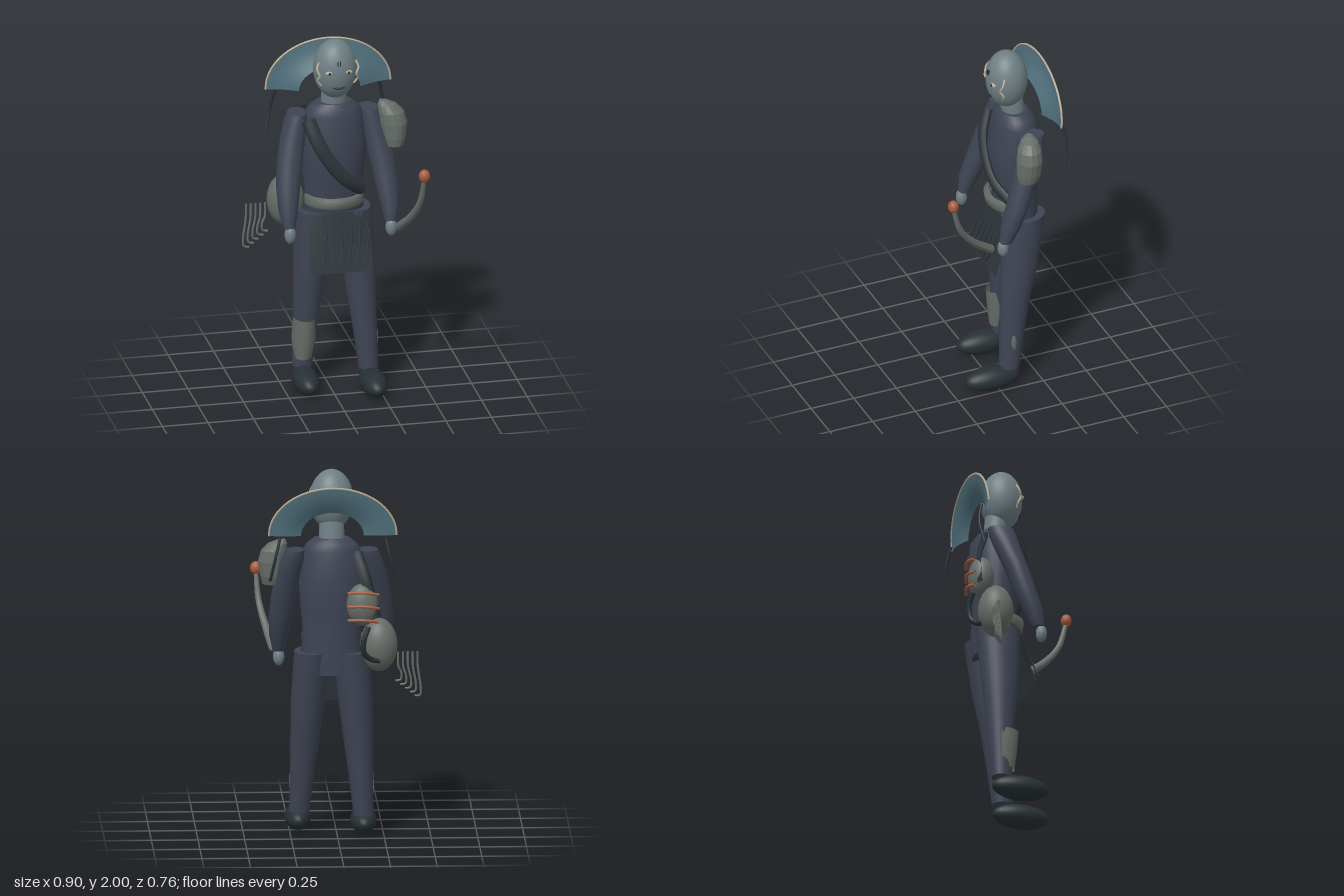
import * as THREE from 'three';

const mat = (color) => new THREE.MeshStandardMaterial({ color, side: THREE.DoubleSide });
const V = (p) => new THREE.Vector3(...p);

// Horizontal elliptical cross-sections [x, y, z, rx, rz], listed bottom to top
function loft(rows, { n = 28, from = -Math.PI, sweep = Math.PI * 2, cap = true } = {}) {
  const full = sweep > 6.28, cols = full ? n : n + 1;
  const first = rows[0], last = rows[rows.length - 1];
  const flat = (r) => [r[0], r[1], r[2], 0, 0];
  const all = cap && full ? [flat(first), first, ...rows, last, flat(last)] : rows;
  const pos = [], idx = [];
  all.forEach(([x, y, z, rx, rz], j) => {
    for (let i = 0; i < cols; i++) {
      const t = from + (sweep * i) / n;
      pos.push(x + rx * Math.sin(t), y, z + rz * Math.cos(t));
    }
    if (j === 0) return;
    for (let i = 0; i < n; i++) {
      const k = (i + 1) % cols, a = (j - 1) * cols, b = j * cols;
      idx.push(a + i, a + k, b + k, a + i, b + k, b + i);
    }
  });
  const g = new THREE.BufferGeometry();
  g.setAttribute('position', new THREE.Float32BufferAttribute(pos, 3));
  g.setIndex(idx);
  g.computeVertexNormals();
  return g;
}

// Tube through points, with an optional end taper and depth squash
function tube(points, r, { taper = 1, squash = 1, sides = 10, n = 20 } = {}) {
  const curve = new THREE.CatmullRomCurve3(points.map(V));
  const g = new THREE.TubeGeometry(curve, n, r, sides);
  const p = g.attributes.position, v = new THREE.Vector3();
  for (let i = 0; i < p.count; i++) {
    const t = Math.floor(i / (sides + 1)) / n, c = curve.getPointAt(t);
    v.fromBufferAttribute(p, i).sub(c).multiplyScalar(1 + (taper - 1) * t);
    v.z *= squash;
    p.setXYZ(i, c.x + v.x, c.y + v.y, c.z + v.z);
  }
  g.computeVertexNormals();
  return g;
}

export function createModel() {
  const model = new THREE.Group();
  const cloth = mat(0x3e4453), skin = mat(0x6f7f84), dark = mat(0x273034), grey = mat(0x666d68);
  const copper = mat(0xa85c3c), teal = mat(0x4f6f7b), bone = mat(0xb5ab94);
  const leather = mat(0x2e353b);
  const add = (name, geo, m) => {
    const mesh = new THREE.Mesh(geo, m);
    mesh.name = name;
    model.add(mesh);
    return mesh;
  };
  const ball = (name, c, r, m, seg = 28) => {
    const mesh = add(name, new THREE.SphereGeometry(1, seg, Math.ceil(seg * 0.7)), m);
    mesh.position.set(...c);
    mesh.scale.set(...r);
    return mesh;
  };

  // Body
  ball('head', [0.03, 1.835, -0.13], [0.118, 0.165, 0.113], skin, 36);
  add('neck', loft([[0.03, 1.58, -0.17, 0.07, 0.06], [0.03, 1.74, -0.155, 0.066, 0.062]]), skin);
  add('torso', loft([
    [0.03, 0.9, -0.19, 0.13, 0.095], [0.03, 1.02, -0.18, 0.168, 0.11], [0.03, 1.12, -0.175, 0.155, 0.115],
    [0.03, 1.25, -0.172, 0.168, 0.128], [0.03, 1.4, -0.17, 0.178, 0.137], [0.03, 1.57, -0.178, 0.16, 0.118],
    [0.03, 1.61, -0.172, 0.13, 0.095], [0.03, 1.635, -0.168, 0.095, 0.075]]), cloth);

  // Limbs on both sides, with the left foot a step ahead
  for (const s of [-1, 1]) {
    const side = s > 0 ? 'left' : 'right', step = s > 0 ? 0 : -0.105;
    const x = (d) => 0.03 + s * d;
    add(side + 'Arm', loft([
      [x(0.278), 0.985, -0.005, 0.032, 0.035], [x(0.278), 1.08, -0.035, 0.053, 0.055],
      [x(0.268), 1.2, -0.08, 0.066, 0.062], [x(0.25), 1.33, -0.12, 0.07, 0.064],
      [x(0.225), 1.45, -0.16, 0.068, 0.07], [x(0.205), 1.53, -0.182, 0.063, 0.075],
      [x(0.195), 1.575, -0.19, 0.052, 0.07]]), cloth);
    ball(side + 'Hand', [x(0.277), 0.95, 0.012], [0.031, 0.05, 0.03], skin, 18);
    add(side + 'Leg', loft([
      [x(0.17), 0.12, -0.072 + step, 0.054, 0.056], [x(0.155), 0.35, -0.095 + step * 0.8, 0.066, 0.07],
      [x(0.14), 0.55, -0.12 + step * 0.55, 0.08, 0.085], [x(0.127), 0.75, -0.15 + step * 0.25, 0.092, 0.105],
      [x(0.105), 1.02, -0.18, 0.097, 0.122]]), cloth);
    ball(side + 'Shoe', [x(0.174), 0.07, 0.03 + step], [0.071, 0.067, 0.157], dark);
    // Tassel hanging from the crest
    add(side + 'CrestTassel', tube([[x(0.283), 1.665, -0.325], [x(0.31), 1.55, -0.345], [x(0.337), 1.43, -0.325]], 0.008), dark);
  }

  // Face
  for (const s of [-1, 1]) {
    ball('eye', [0.03 + s * 0.052, 1.845, -0.031], [0.022, 0.011, 0.012], bone, 14);
    ball('pupil', [0.03 + s * 0.052, 1.845, -0.02], [0.007, 0.008, 0.005], dark, 10);
    add('cheekMark', tube([[0.03 + s * 0.1, 1.895, -0.075], [0.03 + s * 0.113, 1.86, -0.06], [0.03 + s * 0.1, 1.825, -0.05],
      [0.03 + s * 0.11, 1.795, -0.065], [0.03 + s * 0.09, 1.765, -0.07]], 0.006), bone);
    add('browMark', new THREE.BoxGeometry(0.005, 0.024, 0.014), dark).position.set(0.03 + s * 0.007, 1.897, -0.024);
  }
  add('mouth', tube([[0, 1.76, -0.037], [0.03, 1.753, -0.031], [0.06, 1.76, -0.037]], 0.006), dark);

  // Fan crest behind the head: an arched band leaning back toward its rim
  const crest = new THREE.PlaneGeometry(1, 1, 40, 6), cp = crest.attributes.position;
  const rimPoint = (a, k) => {
    const s = Math.sin(a), c = Math.cos(a);
    const rx = 0.168 + 0.175 * k, ry = 0.125 + 0.135 * k;
    return [0.03 - rx * c, 1.672 + ry * s - 0.01 * (1 - k), -0.262 - k * (0.04 + 0.022 * s) - 0.012 * Math.sin(k * Math.PI)];
  };
  for (let i = 0; i < cp.count; i++) {
    cp.setXYZ(i, ...rimPoint((cp.getX(i) + 0.5) * Math.PI, cp.getY(i) + 0.5));
  }
  crest.computeVertexNormals();
  add('crest', crest, teal);
  const rim = Array.from({ length: 17 }, (_, i) => rimPoint((i / 16) * Math.PI, 1));
  add('crestRim', tube(rim, 0.006, { n: 60, sides: 6 }), bone);

  // Shoulder guard and shin guards
  const guard = loft([
    [0.352, 1.375, -0.115, 0.05, 0.055], [0.352, 1.42, -0.12, 0.062, 0.066], [0.35, 1.5, -0.125, 0.074, 0.07],
    [0.338, 1.56, -0.13, 0.07, 0.064], [0.318, 1.6, -0.138, 0.052, 0.046], [0.295, 1.622, -0.145, 0.02, 0.02]], { n: 14 });
  add('shoulderGuard', guard.toNonIndexed(), grey).geometry.computeVertexNormals();
  add('rightShinGuard', loft([
    [-0.139, 0.17, -0.175, 0.05, 0.068], [-0.133, 0.28, -0.175, 0.064, 0.083], [-0.13, 0.4, -0.17, 0.06, 0.088]],
  { from: -1.8, sweep: 3.6, n: 12 }), grey);
  ball('leftShinPatch', [0.236, 0.285, -0.08], [0.02, 0.07, 0.02], grey, 12);

  // Sash across the chest and its strap down the back
  add('sash', tube([[-0.125, 1.56, -0.085], [-0.08, 1.44, -0.04], [-0.01, 1.32, -0.025], [0.075, 1.22, -0.035], [0.17, 1.145, -0.085]],
    0.038, { squash: 0.6 }), leather);
  add('backStrap', tube([[-0.1, 1.57, -0.255], [-0.15, 1.42, -0.305], [-0.2, 1.22, -0.315]], 0.03, { squash: 0.5, sides: 4 }), leather);

  // Belt front, apron and hanging cords
  add('belt', loft([
    [0.03, 1.055, -0.17, 0.155, 0.13], [0.03, 1.06, -0.17, 0.162, 0.152],
    [0.03, 1.11, -0.17, 0.162, 0.16], [0.03, 1.115, -0.17, 0.15, 0.13]],
  { from: -1.5, sweep: 3, n: 24 }), grey);
  const apron = new THREE.PlaneGeometry(1, 1, 12, 8), ap = apron.attributes.position;
  for (let i = 0; i < ap.count; i++) {
    const u = ap.getX(i), k = 0.5 - ap.getY(i);
    ap.setXYZ(i, 0.037 + u * (0.325 + 0.02 * k), 1.025 - 0.32 * k, -0.058 + 0.07 * k - 0.07 * u * u * (1 - k));
  }
  apron.computeVertexNormals();
  add('apron', apron, leather);
  for (let i = 0; i < 6; i++) {
    const x = -0.065 + i * 0.046;
    add('apronCord', tube([[x + 0.015, 1.02, -0.04], [x + 0.02, 0.93, 0], [x + 0.01, 0.85, 0.025], [x - 0.012, 0.78, 0.046]], 0.004, { sides: 6 }), dark);
  }

  // Packs carried on the right hip and back
  ball('hipBag', [-0.22, 1.06, -0.235], [0.1, 0.145, 0.095], grey);
  ball('backPouch', [-0.13, 1.29, -0.29], [0.085, 0.115, 0.068], grey);
  for (const y of [1.365, 1.29, 1.215]) {
    add('pouchRib', tube([[-0.215, y - 0.01, -0.35], [-0.17, y, -0.368], [-0.12, y + 0.005, -0.37], [-0.05, y, -0.35]], 0.008), copper);
  }
  add('bagStrap', tube([[-0.16, 1.18, -0.345], [-0.135, 1.11, -0.36], [-0.135, 1.04, -0.35], [-0.17, 1.0, -0.325], [-0.22, 0.985, -0.305]], 0.015), dark);

  // Row of hooked picks beside the hip
  for (let i = 0; i < 5; i++) {
    const x = -0.425 + i * 0.026, b = 0.785 + i * 0.021;
    add('hookedPick', tube([[x, 1.03, -0.28], [x - 0.002, 0.95, -0.277], [x - 0.018, b + 0.045, -0.272],
      [x - 0.015, b + 0.006, -0.27], [x + 0.014, b, -0.268]], 0.006, { sides: 6 }), grey);
  }

  // Curved club with a round copper head
  add('clubHandle', tube([[0.332, 0.98, 0.095], [0.37, 1.08, 0.215], [0.402, 1.2, 0.305], [0.415, 1.35, 0.35]], 0.025, { taper: 0.5 }), grey);
  ball('clubHead', [0.415, 1.365, 0.35], [0.031, 0.036, 0.029], copper, 20);

  return model;
}
